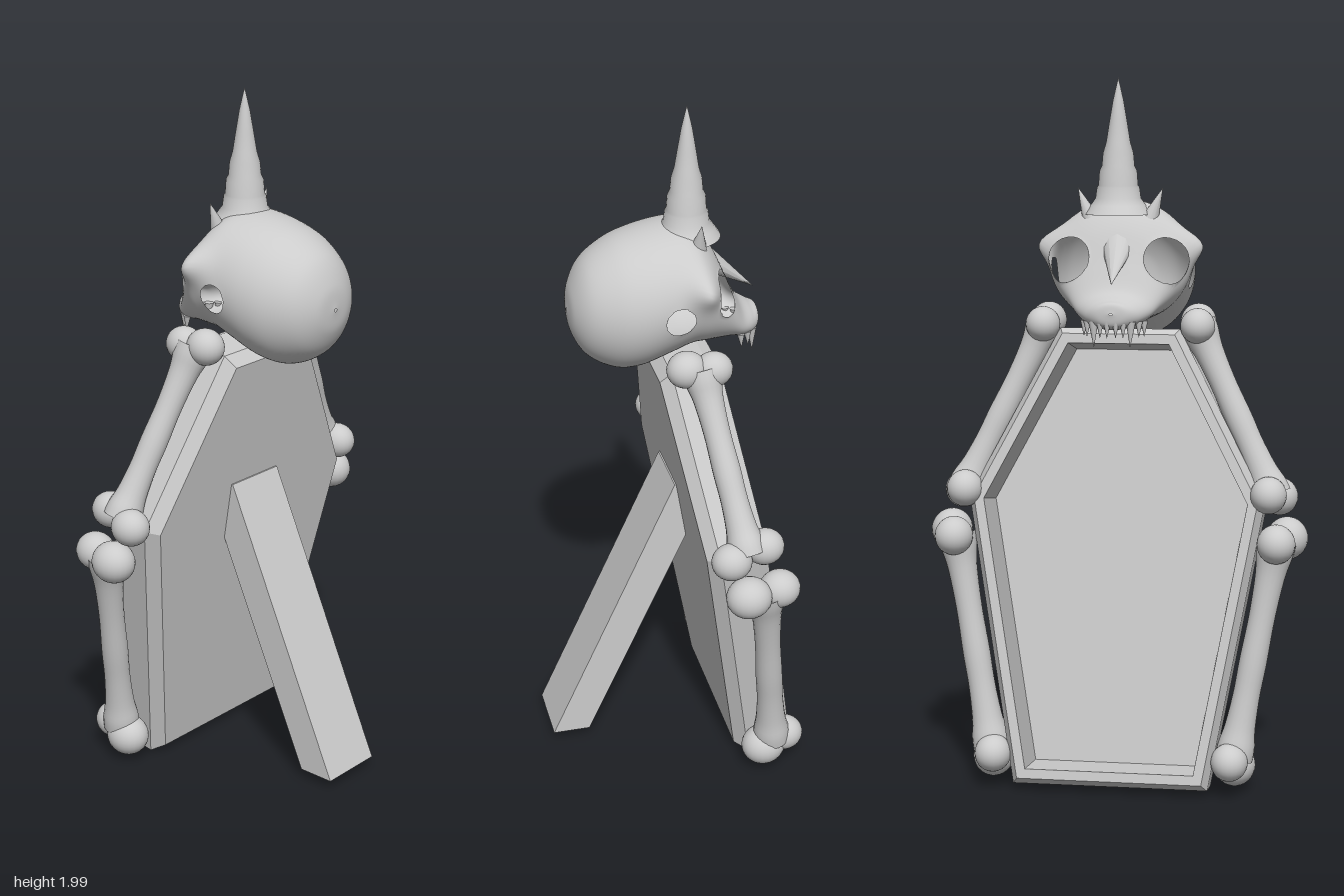
import * as THREE from 'three';

const grey = new THREE.MeshStandardMaterial({ color: 0xcccccc });
const greyFlat = new THREE.MeshStandardMaterial({ color: 0xcccccc, flatShading: true });
const greyThin = new THREE.MeshStandardMaterial({ color: 0xcccccc, side: THREE.DoubleSide });
const V = (x, y, z) => new THREE.Vector3(x, y, z);
const UP = V(0, 1, 0);

function add(parent, name, geometry, material = grey) {
  const mesh = new THREE.Mesh(geometry, material);
  mesh.name = name;
  parent.add(mesh);
  return mesh;
}

function buildGeometry(positions, index) {
  const g = new THREE.BufferGeometry();
  g.setAttribute('position', new THREE.Float32BufferAttribute(positions, 3));
  g.setIndex(index);
  return g;
}

// Lay a y-axis mesh between two points
function aim(mesh, from, to) {
  mesh.position.copy(from);
  mesh.quaternion.setFromUnitVectors(UP, to.clone().sub(from).normalize());
  return mesh;
}

function spike(parent, name, from, to, radius) {
  const length = from.distanceTo(to);
  const g = new THREE.ConeGeometry(radius, length, 12).translate(0, length / 2, 0);
  return aim(add(parent, name, g), from, to);
}

// Move every edge of a counter-clockwise polygon inwards by d
function inset(points, d) {
  const n = points.length;
  return points.map((p, i) => {
    const e1 = p.clone().sub(points[(i + n - 1) % n]).normalize();
    const e2 = points[(i + 1) % n].clone().sub(p).normalize();
    const normal = new THREE.Vector2(-e1.y - e2.y, e1.x + e2.x);
    return p.clone().addScaledVector(normal, d / (1 + e1.dot(e2)));
  });
}

// Hollow coffin tray: chamfered outside, rim, inner wall and floor
function coffinGeometry() {
  const outline = [[-0.275, 0], [0.275, 0], [0.42, 0.81], [0.17, 1.29], [-0.17, 1.29], [-0.42, 0.81]]
    .map(([x, y]) => new THREE.Vector2(x, y));
  const rings = [[0.028, 0], [0, -0.035], [0, -0.14], [0.018, -0.172], [0.045, -0.172], [0.055, -0.045]];
  const positions = [], index = [], n = outline.length;
  rings.forEach(([d, z]) => inset(outline, d).forEach(p => positions.push(p.x, p.y, z)));
  for (let r = 0; r < rings.length - 1; r++) {
    for (let i = 0; i < n; i++) {
      const a = r * n + i, a2 = r * n + (i + 1) % n;
      index.push(a, a + n, a2 + n, a, a2 + n, a2);
    }
  }
  const last = (rings.length - 1) * n;
  for (let i = 1; i < n - 1; i++) {
    index.push(0, i, i + 1, last, last + i + 1, last + i);
  }
  const g = buildGeometry(positions, index).toNonIndexed();
  g.computeVertexNormals();
  return g;
}

// Long bone: waisted shaft with a pair of knuckles at both ends
function bone(parent, name, from, to, knobs) {
  const group = new THREE.Group();
  group.name = name;
  parent.add(group);
  const length = from.distanceTo(to);
  const profile = [[0.055, 0], [0.052, 0.06], [0.042, 0.16], [0.037, 0.35], [0.039, 0.55],
    [0.038, 0.7], [0.043, 0.85], [0.052, 0.94], [0.053, 1]]
    .map(([r, t]) => new THREE.Vector2(r, t * length));
  const curve = new THREE.SplineCurve(profile).getPoints(28);
  aim(add(group, 'boneShaft', new THREE.LatheGeometry(curve, 20)), from, to);
  knobs.forEach(([x, y, z, r]) => {
    const knob = add(group, 'boneKnuckle', new THREE.SphereGeometry(r, 24, 16));
    knob.position.set(x, y, z);
    knob.scale.set(0.98, 1, 1.08);
  });
}

// Thin skull shell lofted along z, with eye sockets and temple openings
function skullGeometry() {
  // z, bottom, top, half width
  const sections = [
    [0.268, 1.425, 1.435, 0.005], [0.258, 1.36, 1.5, 0.07], [0.22, 1.295, 1.57, 0.13],
    [0.15, 1.255, 1.62, 0.175], [0.08, 1.255, 1.645, 0.195], [0.0, 1.285, 1.66, 0.2],
    [-0.06, 1.31, 1.66, 0.2], [-0.1, 1.315, 1.635, 0.195], [-0.14, 1.315, 1.58, 0.17],
    [-0.18, 1.315, 1.49, 0.135], [-0.215, 1.312, 1.42, 0.105], [-0.25, 1.312, 1.395, 0.075],
    [-0.272, 1.325, 1.385, 0.045], [-0.279, 1.355, 1.36, 0.005]];
  const heights = new THREE.CatmullRomCurve3(sections.map(s => V(s[0], s[1], s[2])), false, 'catmullrom');
  const widths = new THREE.CatmullRomCurve3(sections.map(s => V(s[3], 0, 0)), false, 'catmullrom');
  const rows = 104, cols = 80, points = [];
  const browPeak = V(0.19, 1.54, -0.09);
  const holes = [];
  for (const s of [-1, 1]) {
    holes.push({ c: V(s * 0.137, 1.495, -0.145), r: 0.066 }, { c: V(s * 0.198, 1.45, -0.01), r: 0.042 });
  }
  for (let j = 0; j <= rows; j++) {
    const h = heights.getPoint(j / rows), w = Math.max(widths.getPoint(j / rows).x, 0.003);
    for (let i = 0; i < cols; i++) {
      const a = i / cols * Math.PI * 2;
      const p = V(Math.cos(a) * w, (h.y + h.z) / 2 + Math.sin(a) * (h.z - h.y) / 2, h.x);
      // Pointed brow corners
      const side = Math.sign(p.x);
      const d = V(Math.abs(p.x), p.y, p.z).distanceTo(browPeak);
      p.x += side * 0.045 * Math.exp(-((d / 0.05) ** 2));
      points.push(p);
    }
  }
  // Snap vertices near a hole to its edge and drop those inside
  const inside = points.map(p => holes.some(({ c, r }) => {
    const d = p.distanceTo(c);
    if (d < r - 0.014) return true;
    if (d < r) p.sub(c).multiplyScalar(r / d).add(c);
    return false;
  }));
  const index = [];
  const tri = (...t) => { if (!t.some(k => inside[k])) index.push(...t); };
  for (let j = 0; j < rows; j++) {
    for (let i = 0; i < cols; i++) {
      const a = j * cols + i, b = j * cols + (i + 1) % cols;
      tri(a, a + cols, b + cols);
      tri(a, b + cols, b);
    }
  }
  const g = buildGeometry(points.flatMap(p => p.toArray()), index);
  g.computeVertexNormals();
  return g;
}

export function createModel() {
  const model = new THREE.Group();
  model.name = 'coffinFrame';

  // Leaning coffin tray, open towards -z
  const coffin = add(model, 'coffinTray', coffinGeometry(), greyFlat);
  coffin.position.set(0, 0.005, -0.17);
  coffin.rotation.x = 0.167;

  // Rear prop, cut level at the foot
  const legShape = new THREE.Shape([[-0.355, 0.04], [-0.245, 0.04], [0.065, 0.72], [0.04, 0.87], [0.02, 0.87]]
    .map(([x, y]) => new THREE.Vector2(x, y)));
  const prop = add(model, 'propLeg',
    new THREE.ExtrudeGeometry(legShape, { depth: 0.195, bevelEnabled: false }), greyFlat);
  prop.rotation.y = Math.PI / 2;
  prop.position.x = -0.105;

  // Bones along both sides
  for (const s of [-1, 1]) {
    bone(model, 'upperBone', V(s * 0.215, 1.31, -0.06), V(s * 0.44, 0.84, -0.14), [
      [s * 0.215, 1.315, -0.02, 0.052], [s * 0.22, 1.31, -0.095, 0.05],
      [s * 0.455, 0.83, -0.09, 0.053], [s * 0.43, 0.85, -0.19, 0.052]]);
    bone(model, 'lowerBone', V(s * 0.455, 0.72, -0.19), V(s * 0.345, 0.11, -0.255), [
      [s * 0.48, 0.72, -0.135, 0.06], [s * 0.455, 0.72, -0.23, 0.055],
      [s * 0.345, 0.085, -0.23, 0.06], [s * 0.335, 0.11, -0.295, 0.053]]);
  }

  // Skull facing -z
  const skull = new THREE.Group();
  skull.name = 'skull';
  model.add(skull);
  add(skull, 'skullShell', skullGeometry(), greyThin);

  // Nasal bone overhanging the snout
  const nasal = spike(skull, 'nasalBone', V(0, 1.56, -0.1), V(0, 1.437, -0.268), 0.062);
  nasal.scale.set(0.95, 1, 0.65);

  // Ringed horn
  const hornProfile = [[0.095, 1.62], [0.078, 1.645], [0.064, 1.665], [0.06, 1.695], [0.056, 1.7],
    [0.053, 1.74], [0.046, 1.755], [0.043, 1.79], [0.034, 1.82], [0.026, 1.87], [0.015, 1.935], [0, 2]];
  const horn = add(skull, 'horn',
    new THREE.LatheGeometry(hornProfile.map(([r, y]) => new THREE.Vector2(r, y)), 28));
  horn.position.set(0.008, 0, -0.07);

  // Small side horns and teeth
  for (const s of [-1, 1]) {
    spike(skull, 'smallHorn', V(s * 0.085, 1.61, -0.085), V(s * 0.12, 1.695, -0.085), 0.024);
    spike(skull, 'fang', V(s * 0.052, 1.335, -0.25), V(s * 0.05, 1.262, -0.253), 0.014);
    for (const [x, z] of [[0.012, -0.265], [0.032, -0.26], [0.072, -0.232], [0.084, -0.21]]) {
      spike(skull, 'tooth', V(s * x, 1.335, z), V(s * x, 1.29, z - 0.003), 0.011);
    }
  }
  return model;
}
